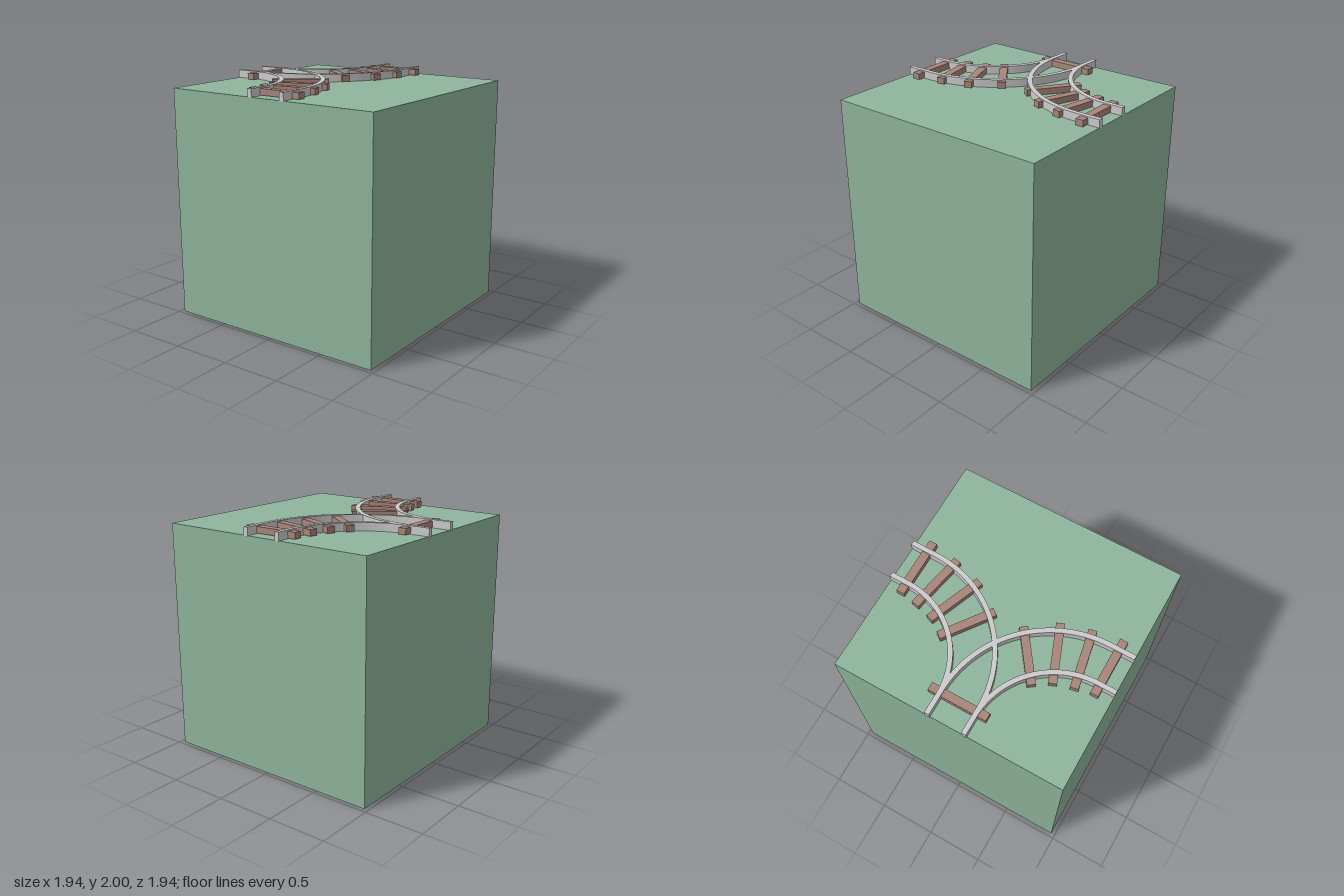
import * as THREE from 'three';

const GROUND = 1.934, HALF = 0.966, GAUGE = 0.155, RAIL_W = 0.04;

const groundMat = new THREE.MeshStandardMaterial({ color: 0x8fb59c });
const tieMat = new THREE.MeshStandardMaterial({ color: 0xa8857a });
const railMat = new THREE.MeshStandardMaterial({ color: 0xcccccc });

// One edge line of a rail: straight, quarter bend, straight.
// mirror flips x, c places the bend centre at (-c, -c), offset is the distance from the track's centre line.
function railEdge(mirror, c, offset) {
  const points = [new THREE.Vector2(-mirror * 0.968, offset)];
  for (let i = 0; i <= 32; i++) {
    const a = (Math.PI / 2) * (1 - i / 32);
    const r = c + offset;
    points.push(new THREE.Vector2(mirror * (-c + r * Math.cos(a)), -c + r * Math.sin(a)));
  }
  points.push(new THREE.Vector2(mirror * offset, -0.972));
  return points;
}

function makeRail(name, mirror, c, offset) {
  const outline = [
    ...railEdge(mirror, c, offset + RAIL_W / 2),
    ...railEdge(mirror, c, offset - RAIL_W / 2).reverse(),
  ];
  const geometry = new THREE.ExtrudeGeometry(new THREE.Shape(outline), { depth: 2 - GROUND + 0.004, bevelEnabled: false });
  geometry.rotateX(Math.PI / 2);
  const rail = new THREE.Mesh(geometry, railMat);
  rail.name = name;
  rail.position.y = 2;
  return rail;
}

// A wooden tie laid between two ground points
function makeTie(name, x1, z1, x2, z2) {
  const length = Math.hypot(x2 - x1, z2 - z1);
  const tie = new THREE.Mesh(new THREE.BoxGeometry(length, 0.052, 0.067), tieMat);
  tie.name = name;
  tie.position.set((x1 + x2) / 2, 1.964, (z1 + z2) / 2);
  tie.rotation.y = -Math.atan2(z2 - z1, x2 - x1);
  return tie;
}

export function createModel() {
  const model = new THREE.Group();
  model.name = 'railJunctionBlock';

  // Ground block
  const ground = new THREE.Mesh(new THREE.BoxGeometry(HALF * 2, GROUND, HALF * 2), groundMat);
  ground.name = 'groundBlock';
  ground.position.y = GROUND / 2;
  model.add(ground);

  // Curved tracks: one from each side, merging at the back
  const ties = [
    [-0.832, -0.245, -0.832, 0.24],
    [-0.683, -0.274, -0.59, 0.2],
    [-0.528, -0.32, -0.352, 0.13],
    [-0.398, -0.405, -0.124, -0.03],
  ];
  for (const [side, mirror] of [['right', 1], ['left', -1]]) {
    const track = new THREE.Group();
    track.name = side + 'Track';
    track.add(makeRail(side + 'OuterRail', mirror, 0.76, GAUGE));
    track.add(makeRail(side + 'InnerRail', mirror, 0.82, -GAUGE));
    ties.forEach(([x1, z1, x2, z2], i) =>
      track.add(makeTie(side + 'Tie' + (i + 1), mirror * x1, z1, mirror * x2, z2)));
    model.add(track);
  }

  // Shared tie where the tracks merge
  model.add(makeTie('backTie', -0.245, -0.775, 0.245, -0.775));

  return model;
}
